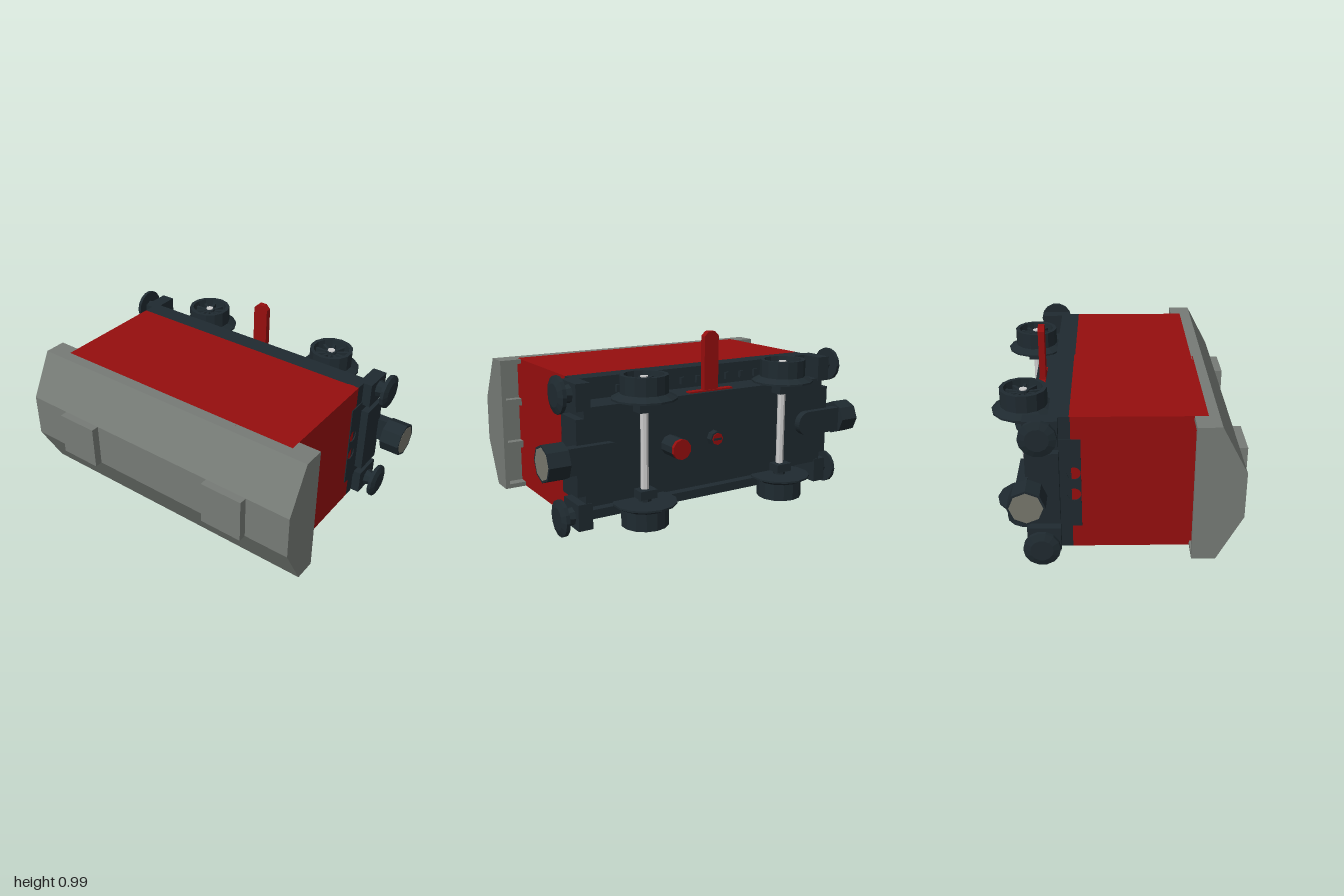
import * as THREE from 'three';

const mat = (color) => new THREE.MeshStandardMaterial({ color, flatShading: true });
const MID = 0.42; // height of the wagon's long axis

export function createModel() {
  const root = new THREE.Group();
  const red = mat(0x960e0e), grey = mat(0x767b76), dark = mat(0x1f2a30), steel = mat(0xcccccc), pale = mat(0x77776c);

  const add = (name, geo, material, x = 0, y = 0, z = 0, parent = root) => {
    const m = new THREE.Mesh(geo, material);
    m.name = name;
    m.position.set(x, y, z);
    parent.add(m);
    return m;
  };
  // box given by its limits on each axis
  const box = (name, material, [x0, x1], [y0, y1], [z0, z1], parent) =>
    add(name, new THREE.BoxGeometry(x1 - x0, y1 - y0, z1 - z0), material,
      (x0 + x1) / 2, (y0 + y1) / 2, (z0 + z1) / 2, parent);
  const poly = (pts) => new THREE.Shape(pts.map(([a, b]) => new THREE.Vector2(a, b)));
  const extrude = (shape, depth) => new THREE.ExtrudeGeometry(shape, { depth, bevelEnabled: false, curveSegments: 8 });
  // [z, y] outline extruded along x
  const alongX = (pts, x0, x1) =>
    extrude(poly(pts.map(([z, y]) => [-z, y])), x1 - x0).rotateY(Math.PI / 2).translate(x0, 0, 0);
  // cylinder from its base at x = 0 towards +x
  const rodX = (r0, r1, len, sides) =>
    new THREE.CylinderGeometry(r1, r0, len, sides).rotateZ(-Math.PI / 2).translate(len / 2, 0, 0);
  const rodZ = (r, len, sides) => new THREE.CylinderGeometry(r, r, len, sides).rotateX(Math.PI / 2);

  // Body and roof
  box('body', red, [-0.77, 0.77], [0.035, 0.80], [-0.25, 0.44]);
  add('roof', alongX([[0.43, 0.035], [0.495, 0.035], [0.63, 0.29], [0.63, 0.545], [0.495, 0.80], [0.43, 0.80]],
    -0.895, 0.895), grey);
  for (const x of [-0.51, 0.51])
    box('roofHatch', grey, [x - 0.125, x + 0.125], [0.29, 0.545], [0.62, 0.675]);

  // Roof overhang with three pockets at each end
  for (const s of [-1, 1]) {
    const span = (a, b) => (s > 0 ? [a, b] : [-b, -a]);
    box('roofEndWall', grey, span(0.87, 0.895), [0.035, 0.80], [0.37, 0.44]);
    for (const y of [0.035, 0.775])
      box('roofSideWall', grey, span(0.77, 0.87), [y, y + 0.025], [0.37, 0.44]);
    for (const y of [0.29, 0.545])
      box('roofRib', grey, span(0.77, 0.87), [y - 0.02, y + 0.02], [0.385, 0.44]);
  }

  // Chassis
  box('chassisDeck', dark, [-0.77, 0.77], [0.035, 0.80], [-0.305, -0.245]);
  box('chassisBlock', dark, [-0.77, 0.77], [0.165, 0.675], [-0.475, -0.25]);
  for (const s of [-1, 1]) {
    const y = MID + s * 0.355;
    box('sideRail', dark, [-0.77, 0.77], [y - 0.025, y + 0.025], [-0.355, -0.25]);
    for (let i = -5; i <= 5; i++)
      box('railStud', dark, [i * 0.1 - 0.012, i * 0.1 + 0.012], [MID + s * 0.3 - 0.02, MID + s * 0.3 + 0.02], [-0.325, -0.30]);
  }

  // Everything at one end, facing +x; the other end is turned about z
  const makeEnd = () => {
    const g = new THREE.Group();
    g.name = 'wagonEnd';
    // thin end plate with two round holes
    const plate = poly([[0.195, -0.255], [0.475, -0.255], [0.475, 0.255], [0.195, 0.255]]);
    for (const y of [-0.062, 0.062]) {
      const hole = new THREE.Path();
      hole.absarc(0.232, y, 0.036, 0, Math.PI * 2, true);
      plate.holes.push(hole);
    }
    add('endPlate', extrude(plate, 0.008).rotateY(Math.PI / 2), dark, 0.768, 0, 0, g);
    box('endBeam', dark, [0.76, 0.82], [-0.2, 0.2], [-0.475, -0.305], g);
    // buffers
    for (const s of [-1, 1]) {
      box('bufferMount', dark, [0.74, 0.82], [s * 0.31 - 0.07, s * 0.31 + 0.07], [-0.48, -0.305], g);
      add('bufferShaft', rodX(0.05, 0.035, 0.06, 8), dark, 0.815, s * 0.32, -0.4, g);
      add('bufferDisc', rodX(0.097, 0.097, 0.02, 14), dark, 0.872, s * 0.32, -0.4, g);
      add('bufferFace', rodX(0.097, 0.06, 0.013, 14), dark, 0.892, s * 0.32, -0.4, g);
    }
    // coupling: rounded tongue, octagonal cup and pale face
    const tongue = new THREE.Shape();
    tongue.moveTo(0.9, -0.07);
    tongue.lineTo(0.9, 0.07);
    tongue.lineTo(0.65, 0.07);
    tongue.absarc(0.65, 0, 0.07, Math.PI / 2, Math.PI * 1.5, false);
    add('couplingTongue', extrude(tongue, 0.055), dark, 0, 0, -0.515, g);
    add('couplingCup', rodX(0.097, 0.097, 0.115, 8), dark, 0.884, 0, -0.458, g);
    add('couplingFace', rodX(0.085, 0.085, 0.01, 8), pale, 0.99, 0, -0.458, g);
    g.position.y = MID;
    return g;
  };
  const endA = makeEnd(), endB = makeEnd();
  endB.rotation.z = Math.PI;
  root.add(endA, endB);

  // Wheels: flange, tread, recessed face and hub in one profile
  const profile = [[0, 0.272], [0.172, 0.272], [0.172, 0.282], [0.127, 0.305], [0.127, 0.4], [0.105, 0.4],
    [0.1, 0.345], [0.035, 0.345], [0.032, 0.385], [0, 0.385]].map(([r, h]) => new THREE.Vector2(r, h));
  const wheelGeo = new THREE.LatheGeometry(profile, 14);
  for (const x of [-0.45, 0.45]) {
    const set = new THREE.Group();
    set.name = 'wheelSet';
    set.position.set(x, MID, -0.503);
    root.add(set);
    add('axle', new THREE.CylinderGeometry(0.022, 0.022, 0.782, 8), steel, 0, 0, 0, set);
    for (const s of [-1, 1]) {
      const side = new THREE.Group();
      side.name = 'wheel';
      if (s < 0) side.rotation.x = Math.PI;
      set.add(side);
      add('wheelDisc', wheelGeo, dark, 0, 0, 0, side);
      for (let i = 0; i < 10; i++) {
        const a = (i / 10) * Math.PI * 2;
        const spoke = add('spoke', new THREE.BoxGeometry(0.078, 0.03, 0.016), dark,
          Math.cos(a) * 0.066, 0.358, Math.sin(a) * 0.066, side);
        spoke.rotation.y = -a;
      }
      add('wheelBoss', new THREE.CylinderGeometry(0.035, 0.035, 0.03, 8), dark, 0, 0.265, 0, side);
    }
    // axle bearings standing on the chassis
    for (const y of [0.19, 0.65])
      box('axleBearing', dark, [x - 0.05, x + 0.05], [y - 0.023, y + 0.023], [-0.55, -0.46]);
  }

  // Switch lever with its sliding base
  add('lever', extrude(poly([[-0.045, 0.66], [0.045, 0.66], [0.045, 0.975], [0.02, 1], [-0.02, 1], [-0.045, 0.975]]), 0.035),
    red, 0, 0, -0.45);
  box('leverBase', red, [-0.14, 0.14], [0.64, 0.683], [-0.455, -0.415]);

  // Buttons on the underside
  add('buttonStem', rodZ(0.055, 0.12, 10), dark, 0.28, MID, -0.52);
  add('buttonCap', rodZ(0.055, 0.02, 10), red, 0.28, MID, -0.59);
  add('screwRing', rodZ(0.043, 0.05, 8), dark, 0, MID, -0.49);
  add('screwHead', rodZ(0.034, 0.01, 8), red, 0, MID, -0.515);
  box('screwSlot', dark, [-0.025, 0.025], [MID - 0.006, MID + 0.006], [-0.523, -0.515]);
  return root;
}
